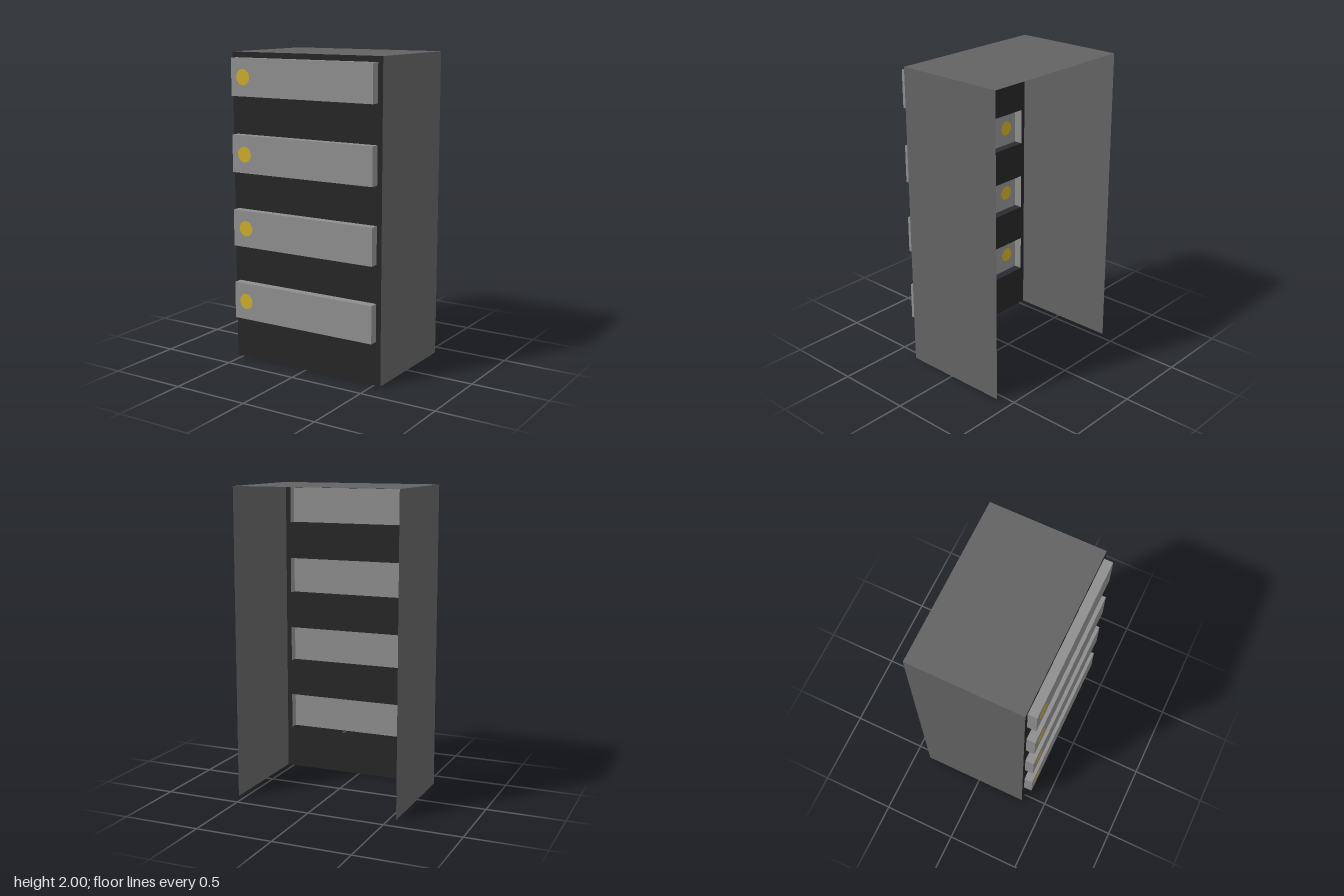
import * as THREE from 'three';

const paint = (name, color) => {
  const m = new THREE.MeshStandardMaterial({ color, side: THREE.DoubleSide });
  m.name = name;
  return m;
};

// Closed 2D outlines
const rect = (x0, y0, x1, y1) => [[x0, y0], [x1, y0], [x1, y1], [x0, y1]].map(p => new THREE.Vector2(...p));
const circle = (x, y, r, n) => Array.from({ length: n }, (_, i) => {
  const a = (i / n) * Math.PI * 2;
  return new THREE.Vector2(x + r * Math.cos(a), y + r * Math.sin(a));
});

export function createModel() {
  const casing = paint('casing grey', 0x626262);
  const frontBlack = paint('front black', 0x262626);
  const drawerGrey = paint('drawer grey', 0x8e8e8e);
  const gold = paint('knob gold', 0xcbab2c);

  const W = 0.545, H = 2, back = -0.397, face = 0.34, drawerFace = 0.397;
  const left = -0.515, right = 0.512;

  const model = new THREE.Group();
  model.name = 'cabinet';

  const add = (parent, name, geometry, material, x, y, z) => {
    const mesh = new THREE.Mesh(geometry, material);
    mesh.name = name;
    mesh.position.set(x, y, z);
    parent.add(mesh);
  };
  // Flat sheet facing +z, with optional holes
  const sheet = (outline, holes = []) => {
    const shape = new THREE.Shape(outline);
    shape.holes = holes.map(h => new THREE.Path(h));
    return new THREE.ShapeGeometry(shape);
  };
  const wall = (depth, height, sign) => new THREE.PlaneGeometry(depth, height).rotateY(sign * Math.PI / 2);
  const lid = (width, depth) => new THREE.PlaneGeometry(width, depth).rotateX(-Math.PI / 2);

  // Casing: open at the back and underneath
  const depth = face - back, midZ = (face + back) / 2;
  for (const s of [-1, 1]) add(model, s > 0 ? 'leftSide' : 'rightSide', wall(depth, H, s), casing, s * W, H / 2, midZ);
  add(model, 'top', lid(2 * W, depth), casing, 0, H, midZ);

  // Drawers: bottom, top, knob x, knob y
  const drawers = [
    [0.28, 0.52, -0.427, 0.4],
    [0.763, 1.0, -0.42, 0.884],
    [1.243, 1.483, -0.422, 1.362],
    [1.727, 1.965, -0.425, 1.847],
  ];

  // Front panel with one opening per drawer
  add(model, 'frontPanel', sheet(rect(-W, 0, W, H), drawers.map(([b, t]) => rect(left, b, right, t))), frontBlack, 0, 0, face);

  // Each drawer is a shallow hood: front, top and ends, open below
  const out = drawerFace - face, outZ = (drawerFace + face) / 2;
  drawers.forEach(([b, t, kx, ky], i) => {
    const drawer = new THREE.Group();
    drawer.name = `drawer${i + 1}`;
    model.add(drawer);
    const knob = circle(kx, ky, 0.051, 12);
    add(drawer, 'drawerFront', sheet(rect(left, b, right, t), [knob]), drawerGrey, 0, 0, drawerFace);
    add(drawer, 'knob', sheet(knob), gold, 0, 0, drawerFace);
    add(drawer, 'drawerTop', lid(right - left, out), drawerGrey, (left + right) / 2, t, outZ);
    add(drawer, 'drawerLeftEnd', wall(out, t - b, 1), drawerGrey, right, (b + t) / 2, outZ);
    add(drawer, 'drawerRightEnd', wall(out, t - b, -1), drawerGrey, left, (b + t) / 2, outZ);
  });

  return model;
}
